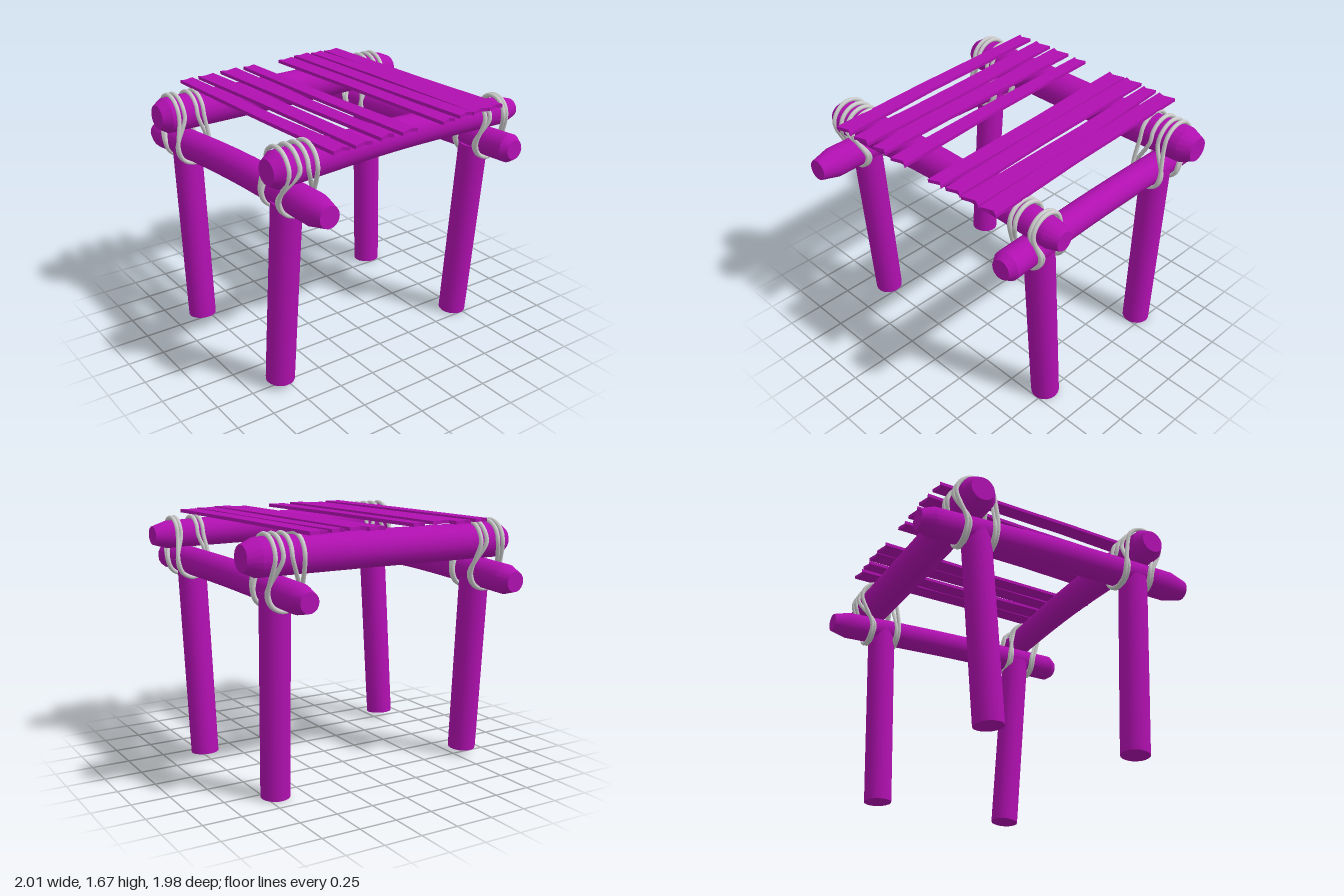
import * as THREE from 'three';
import { toCreasedNormals } from 'three/addons/utils/BufferGeometryUtils.js';

const wood = new THREE.MeshStandardMaterial({ color: 0xb010b0 });
const ropeGrey = new THREE.MeshStandardMaterial({ color: 0xcccccc });
const V = (p) => new THREE.Vector3(...p);

function add(group, name, geometry, material) {
  const mesh = new THREE.Mesh(geometry, material);
  mesh.name = name;
  group.add(mesh);
}

// Log: a lathed bar whose rings follow a gentle curve; r0/r1 body radii,
// t0/t1 lengths of the chamfered ends as a fraction of the log
function log(points, r0, r1, t0 = 0, t1 = 0, sides = 18) {
  const pts = points.map(V);
  const curve = new THREE.CatmullRomCurve3(pts);
  const profile = [new THREE.Vector2(0, 0)];
  if (t0) profile.push(new THREE.Vector2(r0 * 0.68, 0));
  const n = 10;
  for (let i = 0; i <= n; i++) {
    const f = i / n;
    profile.push(new THREE.Vector2(r0 + (r1 - r0) * f, t0 + (1 - t0 - t1) * f));
  }
  if (t1) profile.push(new THREE.Vector2(r1 * 0.68, 1));
  profile.push(new THREE.Vector2(0, 1));

  const geo = new THREE.LatheGeometry(profile, sides);
  const axis = pts[pts.length - 1].clone().sub(pts[0]).normalize();
  const turn = new THREE.Quaternion().setFromUnitVectors(new THREE.Vector3(0, 1, 0), axis);
  const pos = geo.attributes.position;
  const v = new THREE.Vector3();
  for (let i = 0; i < pos.count; i++) {
    const t = THREE.MathUtils.clamp(pos.getY(i), 0, 1);
    v.set(pos.getX(i), 0, pos.getZ(i)).applyQuaternion(turn).add(curve.getPoint(t));
    pos.setXYZ(i, v.x, v.y, v.z);
  }
  return toCreasedNormals(geo, 0.45);
}

// Plank: thin board with notched ends; z ranges given at both ends
function plank(xl, zl, xr, zr, wobble) {
  const xm = (xl + xr) / 2 + wobble * 20;
  const mid = (i) => (zl[i] + zr[i]) / 2 + wobble;
  const outline = [
    [xl, zl[0]], [xm, mid(0)], [xr - 0.01, zr[0]],
    [xr - 0.03, (zr[0] + zr[1]) / 2 - 0.02], [xr, zr[1]],
    [xm, mid(1) - wobble / 2], [xl + 0.01, zl[1]],
    [xl + 0.025, (zl[0] + zl[1]) / 2 + 0.02],
  ];
  const shape = new THREE.Shape(outline.map(([x, z]) => new THREE.Vector2(x, -z)));
  const geo = new THREE.ExtrudeGeometry(shape, { depth: 0.022, bevelEnabled: false });
  return geo.rotateX(-Math.PI / 2);
}

// Lashing: a closed rope over the rail on both sides of the beam
// and under the beam on both sides of the leg
function lashing(j, front, back, e) {
  const R = j.r + 0.014, B = j.rb + 0.014;
  const points = [];
  for (const s of [1, -1]) {
    const z = j.z + (s > 0 ? front : -back);
    // arch over the rail
    for (let i = 0; i <= 6; i++) {
      const a = Math.PI * (i / 6);
      points.push(new THREE.Vector3(j.x - s * R * Math.cos(a), j.y + R * Math.sin(a), z));
    }
    // sling under the beam
    for (let i = 0; i <= 4; i++) {
      const a = Math.PI * (i / 4);
      points.push(new THREE.Vector3(j.lx + s * e, j.yb - B * Math.sin(a), j.z + s * B * Math.cos(a)));
    }
  }
  const curve = new THREE.CatmullRomCurve3(points, true);
  return new THREE.TubeGeometry(curve, 110, 0.014, 8, true);
}

export function createModel() {
  const model = new THREE.Group();
  model.name = 'lashedLogTable';

  // Legs
  const legs = {
    frontRightLeg: [[-0.5, 0.045, 0.82], [-0.59, 1.3, 0.81]],
    frontLeftLeg: [[0.505, 0.045, 0.8], [0.59, 1.3, 0.775]],
    backRightLeg: [[-0.58, 0.007, -0.69], [-0.62, 1.29, -0.7]],
    backLeftLeg: [[0.41, 0.007, -0.725], [0.515, 1.31, -0.74]],
  };
  for (const [name, path] of Object.entries(legs)) add(model, name, log(path, 0.093, 0.096), wood);

  // Cross beams resting on the legs
  add(model, 'frontBeam', log([[-0.98, 1.27, 0.825], [0, 1.33, 0.785], [1, 1.34, 0.755]],
    0.097, 0.1, 0.045, 0.065), wood);
  add(model, 'backBeam', log([[-1, 1.28, -0.68], [-0.07, 1.325, -0.72], [0.86, 1.35, -0.775]],
    0.092, 0.094, 0.06, 0.025), wood);

  // Side rails resting on the beams
  add(model, 'rightRail', log([[-0.69, 1.51, -0.95], [-0.65, 1.505, 0.02], [-0.63, 1.5, 0.99]],
    0.118, 0.118, 0.045, 0.03), wood);
  add(model, 'leftRail', log([[0.575, 1.515, -0.99], [0.585, 1.535, -0.02], [0.65, 1.53, 0.94]],
    0.092, 0.115, 0.05, 0.03), wood);

  // Deck planks with a gap in the middle: left end x, z range; right end x, z range
  const deck = [
    [-0.88, [-0.61, -0.49], 0.82, [-0.69, -0.57], 0.006],
    [-0.87, [-0.46, -0.37], 0.83, [-0.56, -0.43], -0.008],
    [-0.87, [-0.34, -0.22], 0.84, [-0.42, -0.31], 0.005],
    [-0.86, [-0.2, -0.08], 0.85, [-0.27, -0.17], -0.004],
    [-0.84, [0.13, 0.22], 0.865, [0.03, 0.15], 0.006],
    [-0.83, [0.28, 0.41], 0.87, [0.21, 0.31], 0.004],
    [-0.83, [0.46, 0.58], 0.875, [0.37, 0.49], -0.005],
    [-0.81, [0.63, 0.725], 0.885, [0.53, 0.65], 0.006],
  ];
  const planks = new THREE.Group();
  planks.name = 'deckPlanks';
  deck.forEach((p, i) => {
    const geo = plank(...p);
    geo.translate(0, 1.638 + (i % 3) * 0.004, 0);
    add(planks, `plank${i + 1}`, geo, wood);
  });
  model.add(planks);

  // Rope lashings: x, y, r of the rail; z, yb, rb of the beam; lx of the leg
  const joints = {
    frontRight: { x: -0.632, y: 1.5, r: 0.118, z: 0.805, yb: 1.3, rb: 0.098, lx: -0.595, d: [0.09, 0.09, 0.05, 0.045] },
    frontLeft: { x: 0.635, y: 1.533, r: 0.112, z: 0.765, yb: 1.345, rb: 0.1, lx: 0.575, d: [0.095, 0.095, 0.025, 0.035] },
    backRight: { x: -0.683, y: 1.508, r: 0.118, z: -0.695, yb: 1.295, rb: 0.093, lx: -0.63, d: [0.09, 0.1, 0.01, 0.05] },
    backLeft: { x: 0.575, y: 1.52, r: 0.096, z: -0.76, yb: 1.345, rb: 0.094, lx: 0.53, d: [0.09, 0.095, 0.05, 0.07] },
  };
  for (const [name, j] of Object.entries(joints)) {
    const ropes = new THREE.Group();
    ropes.name = `${name}Lashing`;
    add(ropes, 'outerRope', lashing(j, j.d[0], j.d[1], 0.105), ropeGrey);
    add(ropes, 'innerRope', lashing(j, j.d[2], j.d[3], 0.085), ropeGrey);
    model.add(ropes);
  }
  return model;
}
